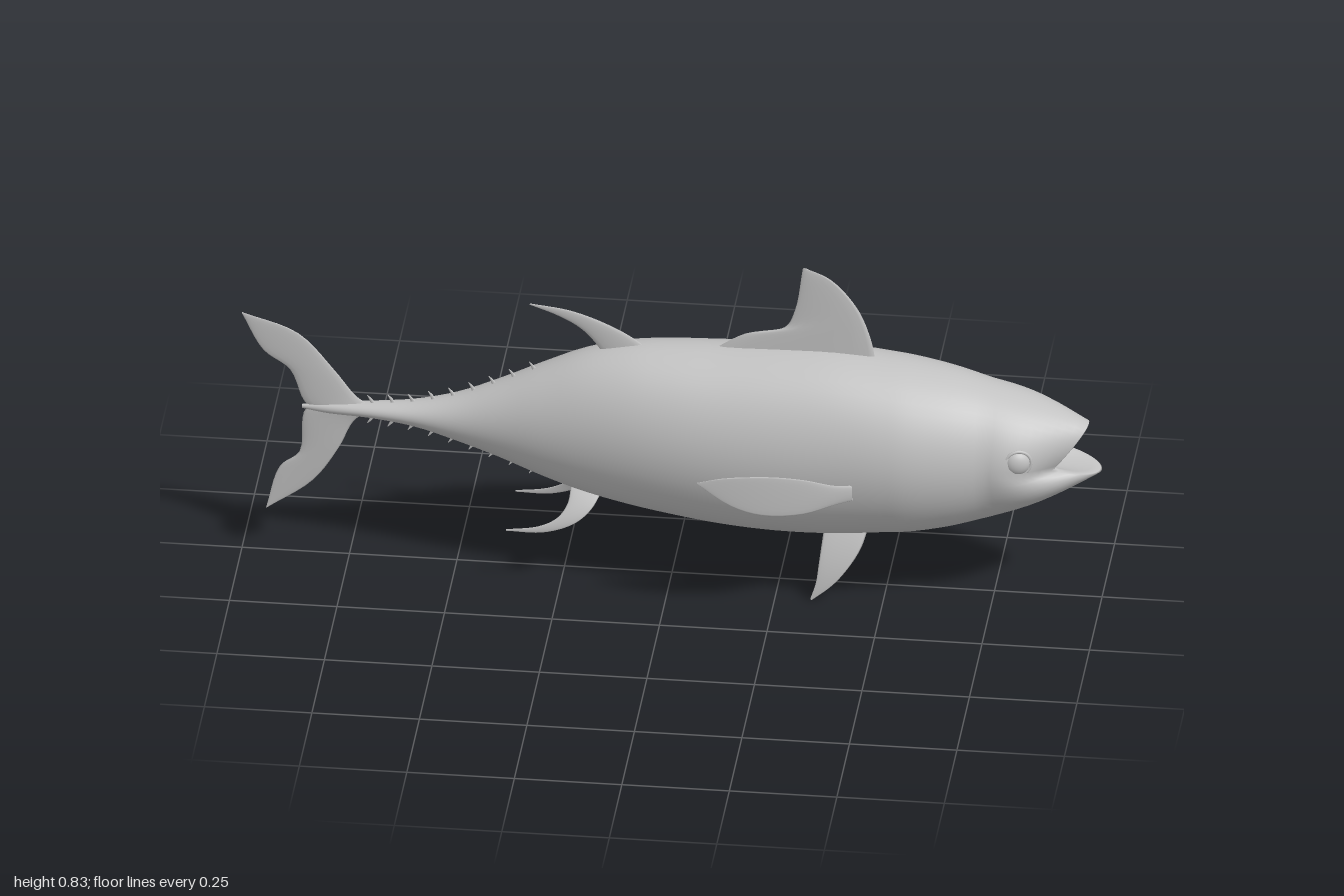
import * as THREE from 'three';

const skin = new THREE.MeshStandardMaterial({ color: 0xc2c2c2, side: THREE.DoubleSide });
skin.name = 'silverSkin';

const V = (x, y, z = 0) => new THREE.Vector3(x, y, z);
const spline = (pts) => new THREE.CatmullRomCurve3(pts.map((p) => V(...p)));

// Smooth skin over a list of closed rings with equal point counts
function loft(rings, name) {
  const n = rings[0].length, index = [];
  for (let i = 0; i < rings.length - 1; i++) {
    for (let j = 0; j < n; j++) {
      const a = i * n + j, c = i * n + ((j + 1) % n);
      index.push(a, a + n, c, a + n, c + n, c);
    }
  }
  const g = new THREE.BufferGeometry().setFromPoints(rings.flat());
  g.setIndex(index);
  g.computeVertexNormals();
  const mesh = new THREE.Mesh(g, skin);
  mesh.name = name;
  return mesh;
}

// Fin between a leading and a trailing edge (both base to tip), lens-shaped
// in section; bend(x, y) gives the sideways position of its middle surface
function fin(name, lead, trail, thick, bend = () => 0) {
  const a = spline(lead), b = spline(trail), rings = [], steps = 20, across = 8;
  for (let i = 0; i <= steps; i++) {
    const t = i / steps, p = a.getPoint(t), q = b.getPoint(t), ring = [];
    for (let j = 0; j < across * 2; j++) {
      const ang = (j / across) * Math.PI;
      const m = p.clone().lerp(q, (1 - Math.cos(ang)) / 2);
      m.z = bend(m.x, m.y) + Math.sin(ang) * thick * (1 - 0.85 * t);
      ring.push(m);
    }
    rings.push(ring);
  }
  return loft(rings, name);
}

// Body sections: x, top, bottom, half width
const SECTIONS = [
  [-0.86, 0.39, 0.38, 0.004], [-0.8, 0.398, 0.372, 0.014], [-0.7, 0.405, 0.368, 0.025],
  [-0.6, 0.415, 0.355, 0.038], [-0.5, 0.44, 0.325, 0.055], [-0.4, 0.482, 0.29, 0.078],
  [-0.3, 0.53, 0.25, 0.104], [-0.2, 0.573, 0.216, 0.127], [-0.1, 0.597, 0.192, 0.146],
  [0, 0.605, 0.174, 0.16], [0.12, 0.608, 0.157, 0.171], [0.25, 0.613, 0.148, 0.178],
  [0.38, 0.613, 0.15, 0.181], [0.5, 0.6, 0.162, 0.183], [0.56, 0.591, 0.168, 0.181],
  [0.65, 0.573, 0.186, 0.166], [0.74, 0.548, 0.213, 0.143],
];
const outline = spline(SECTIONS.map(([x, top, bottom]) => [x, top, bottom]));
const widths = spline(SECTIONS.map(([x, , , w]) => [x, w, 0]));

function createBody() {
  const N = 48, rings = [];
  const ringOf = (f) => Array.from({ length: N }, (_, j) => {
    const th = (j / N) * Math.PI * 2;
    return f(Math.cos(th), Math.sin(th));
  });
  // Trunk
  for (let i = 0; i <= 64; i++) {
    const o = outline.getPoint(i / 64), w = widths.getPoint(i / 64).y;
    const mid = (o.y + o.z) / 2, h = (o.y - o.z) / 2;
    rings.push(ringOf((c, s) => V(o.x, mid + h * s, w * c)));
  }
  // Head, drawn forward to the rim of the open jaws
  const rim = ringOf((c, s) => (s > 0
    ? V(0.89 + 0.08 * s, 0.365 + 0.096 * s, 0.066 * c)
    : V(0.89 - 0.11 * s, 0.365 + 0.026 * s, 0.066 * c)));
  const neck = rings[rings.length - 1];
  for (let k = 1; k <= 10; k++) {
    const t = k / 10, bulge = Math.sin(Math.PI * t);
    rings.push(neck.map((p, j) => {
      const th = (j / N) * Math.PI * 2, q = p.clone().lerp(rim[j], t);
      q.z += 0.028 * bulge * Math.cos(th);
      q.y += 0.008 * bulge * Math.sin(th);
      return q;
    }));
  }
  // Lips and mouth cavity
  const lip = V(0.9, 0.385, 0);
  rings.push(rim.map((p) => p.clone().lerp(lip, 0.06).add(V(0.003, 0, 0))));
  rings.push(rim.map((p) => p.clone().lerp(lip, 0.16).add(V(-0.006, 0, 0))));
  rings.push(ringOf((c, s) => V(0.87, 0.385 + 0.036 * s, 0.048 * c)));
  rings.push(ringOf((c, s) => V(0.83, 0.385 + 0.028 * s, 0.036 * c)));
  rings.push(ringOf(() => V(0.81, 0.385, 0)));
  return loft(rings, 'body');
}

function createEye(side) {
  const eye = new THREE.Group();
  eye.name = side > 0 ? 'leftEye' : 'rightEye';
  const ball = new THREE.Mesh(new THREE.SphereGeometry(0.03, 24, 16), skin);
  ball.name = 'eyeball';
  ball.scale.z = 0.65;
  const lid = new THREE.Mesh(new THREE.TorusGeometry(0.031, 0.004, 8, 32), skin);
  lid.name = 'eyelid';
  lid.position.z = 0.004;
  eye.add(ball, lid);
  eye.position.set(0.817, 0.411, side * 0.119);
  eye.rotation.y = side > 0 ? 0.3 : Math.PI - 0.3;
  return eye;
}

export function createModel() {
  const fish = new THREE.Group();
  fish.name = 'fish';
  fish.add(createBody());

  // Tail
  fish.add(
    fin('upperTailLobe',
      [[-0.7, 0.395], [-0.735, 0.42], [-0.785, 0.485], [-0.87, 0.578], [-1, 0.625]],
      [[-0.83, 0.375], [-0.856, 0.4], [-0.888, 0.48], [-0.95, 0.528], [-1, 0.622]], 0.009),
    fin('lowerTailLobe',
      [[-0.7, 0.385], [-0.74, 0.353], [-0.775, 0.28], [-0.835, 0.19], [-0.942, 0.11]],
      [[-0.83, 0.4], [-0.856, 0.37], [-0.866, 0.265], [-0.912, 0.222], [-0.944, 0.11]], 0.009),
  );

  // Back fins
  fish.add(
    fin('firstDorsalFin',
      [[0.475, 0.58], [0.462, 0.65], [0.43, 0.73], [0.37, 0.8], [0.31, 0.828]],
      [[0.09, 0.595], [0.17, 0.645], [0.262, 0.668], [0.286, 0.715], [0.304, 0.826]], 0.01),
    fin('secondDorsalFin',
      [[-0.05, 0.585], [-0.1, 0.622], [-0.17, 0.657], [-0.24, 0.68], [-0.33, 0.692]],
      [[-0.16, 0.57], [-0.18, 0.6], [-0.214, 0.635], [-0.265, 0.664], [-0.332, 0.689]], 0.007),
  );

  // Paired fins and eyes
  for (const side of [1, -1]) {
    const label = (part) => (side > 0 ? 'left' : 'right') + part;
    fish.add(
      createEye(side),
      fin(label('PectoralFin'),
        [[0.44, 0.36], [0.4, 0.364], [0.33, 0.385], [0.25, 0.396], [0.15, 0.392], [0.086, 0.377]],
        [[0.44, 0.32], [0.4, 0.313], [0.33, 0.294], [0.235, 0.294], [0.165, 0.318], [0.086, 0.373]],
        0.004, (x) => side * (0.237 - 0.5 * Math.max(0, x - 0.1) ** 2)),
      fin(label('PelvicFin'),
        [[0.462, 0.175], [0.447, 0.13], [0.42, 0.085], [0.385, 0.042], [0.336, 0]],
        [[0.36, 0.175], [0.355, 0.13], [0.35, 0.085], [0.345, 0.045], [0.332, 0.002]],
        0.004, (x, y) => side * (0.092 - 1.5 * y * y)),
      fin(label('AnalFin'),
        [[-0.155, 0.235], [-0.18, 0.195], [-0.22, 0.162], [-0.29, 0.138], [-0.375, 0.137]],
        [[-0.23, 0.235], [-0.235, 0.205], [-0.257, 0.175], [-0.3, 0.153], [-0.375, 0.141]],
        0.004, (x, y) => side * (0.092 - 5 * Math.max(0, y - 0.135) ** 2)),
    );
  }

  // Rows of small finlets above and below the tail stem
  for (let i = 0; i < 9; i++) {
    const x = -0.7 + i * 0.047;
    const k = SECTIONS.findIndex((s) => s[0] > x), p = SECTIONS[k - 1], q = SECTIONS[k];
    const f = (x - p[0]) / (q[0] - p[0]);
    for (const up of [1, -1]) {
      const col = up > 0 ? 1 : 2, y = p[col] + (q[col] - p[col]) * f;
      fish.add(fin(up > 0 ? 'upperFinlet' : 'lowerFinlet',
        [[x + 0.012, y - up * 0.004], [x + 0.002, y + up * 0.01], [x - 0.008, y + up * 0.019]],
        [[x, y - up * 0.006], [x - 0.004, y + up * 0.007], [x - 0.009, y + up * 0.018]], 0.003));
    }
  }
  return fish;
}
